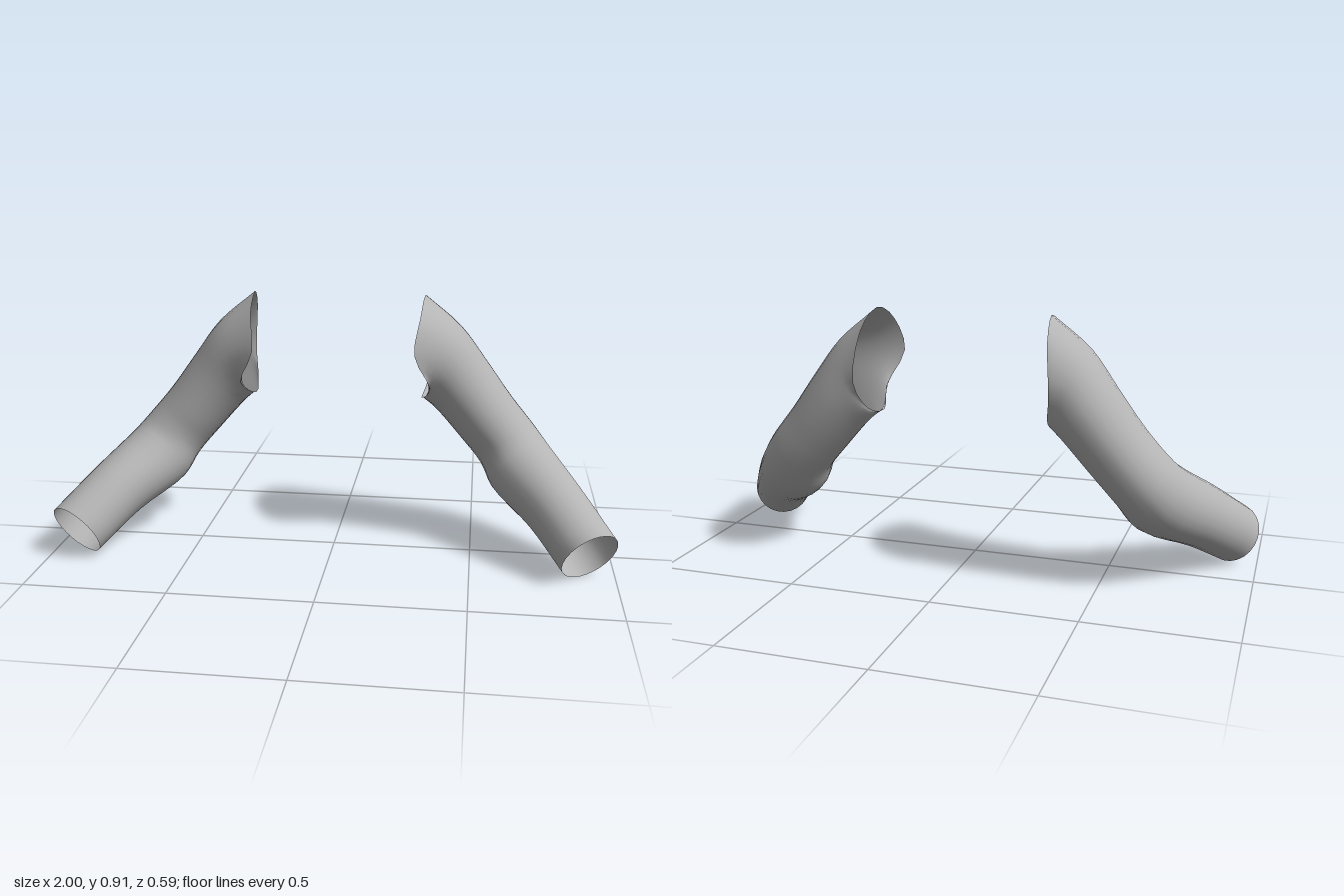
import * as THREE from 'three';

const SIDES = 24;
const STEPS = 28;

// Armhole rim, going round from the top over the front
const RIM = [
  [0.31, 0.91, -0.15], [0.30, 0.85, -0.01], [0.285, 0.73, 0.045], [0.34, 0.605, 0.0],
  [0.305, 0.54, -0.11], [0.32, 0.57, -0.225], [0.34, 0.67, -0.297], [0.325, 0.84, -0.262],
];

// Rings down the arm: centre, direction, radius outward/up, radius front/back
const RINGS = [
  [[0.378, 0.668, -0.142], [0.9, -0.43, 0], 0.147, 0.152],
  [[0.445, 0.588, -0.15], [0.67, -0.74, 0], 0.126, 0.145],
  [[0.54, 0.47, -0.145], [0.63, -0.77, 0.05], 0.118, 0.14],
  [[0.62, 0.375, -0.13], [0.64, -0.68, 0.36], 0.118, 0.139],
  [[0.672, 0.302, -0.085], [0.58, -0.55, 0.6], 0.127, 0.134],
  [[0.795, 0.203, 0.07], [0.54, -0.49, 0.68], 0.112, 0.122],
  [[0.905, 0.094, 0.225], [0.45, -0.48, 0.75], 0.107, 0.107],
];

function ringPoints([centre, direction, ru, rv]) {
  const c = new THREE.Vector3(...centre);
  const d = new THREE.Vector3(...direction).normalize();
  const u = new THREE.Vector3(0.78, 0.62, 0).projectOnPlane(d).normalize();
  const v = new THREE.Vector3().crossVectors(d, u);
  return Array.from({ length: SIDES }, (_, j) => {
    const a = (j / SIDES) * Math.PI * 2;
    return c.clone().addScaledVector(u, ru * Math.cos(a)).addScaledVector(v, rv * Math.sin(a));
  });
}

// Open tube lofted through the rim and rings; side is +1 (left) or -1 (right)
function sleeveGeometry(side) {
  const rimCurve = new THREE.CatmullRomCurve3(RIM.map((p) => new THREE.Vector3(...p)), true);
  const rim = Array.from({ length: SIDES }, (_, j) => rimCurve.getPoint(j / SIDES));
  const rings = [rim, ...RINGS.map(ringPoints)];
  const columns = rim.map((_, j) => new THREE.CatmullRomCurve3(rings.map((r) => r[j])));
  const positions = [];
  const index = [];
  for (let i = 0; i <= STEPS; i++) {
    for (let j = 0; j < SIDES; j++) {
      const p = columns[j].getPoint(i / STEPS);
      positions.push(p.x * side, p.y, p.z);
      if (i === STEPS) continue;
      const k = (j + 1) % SIDES;
      const a = i * SIDES + j, b = i * SIDES + k;
      const c = a + SIDES, d = b + SIDES;
      if (side > 0) index.push(a, b, c, b, d, c);
      else index.push(a, c, b, b, c, d);
    }
  }
  const geometry = new THREE.BufferGeometry();
  geometry.setAttribute('position', new THREE.Float32BufferAttribute(positions, 3));
  geometry.setIndex(index);
  geometry.computeVertexNormals();
  return geometry;
}

export function createModel() {
  const cloth = new THREE.MeshStandardMaterial({ color: 0xb4b4b4, side: THREE.DoubleSide });
  cloth.name = 'grey cloth';
  const model = new THREE.Group();
  model.name = 'sleeves';
  for (const [name, side] of [['leftSleeve', 1], ['rightSleeve', -1]]) {
    const sleeve = new THREE.Mesh(sleeveGeometry(side), cloth);
    sleeve.name = name;
    model.add(sleeve);
  }
  return model;
}
